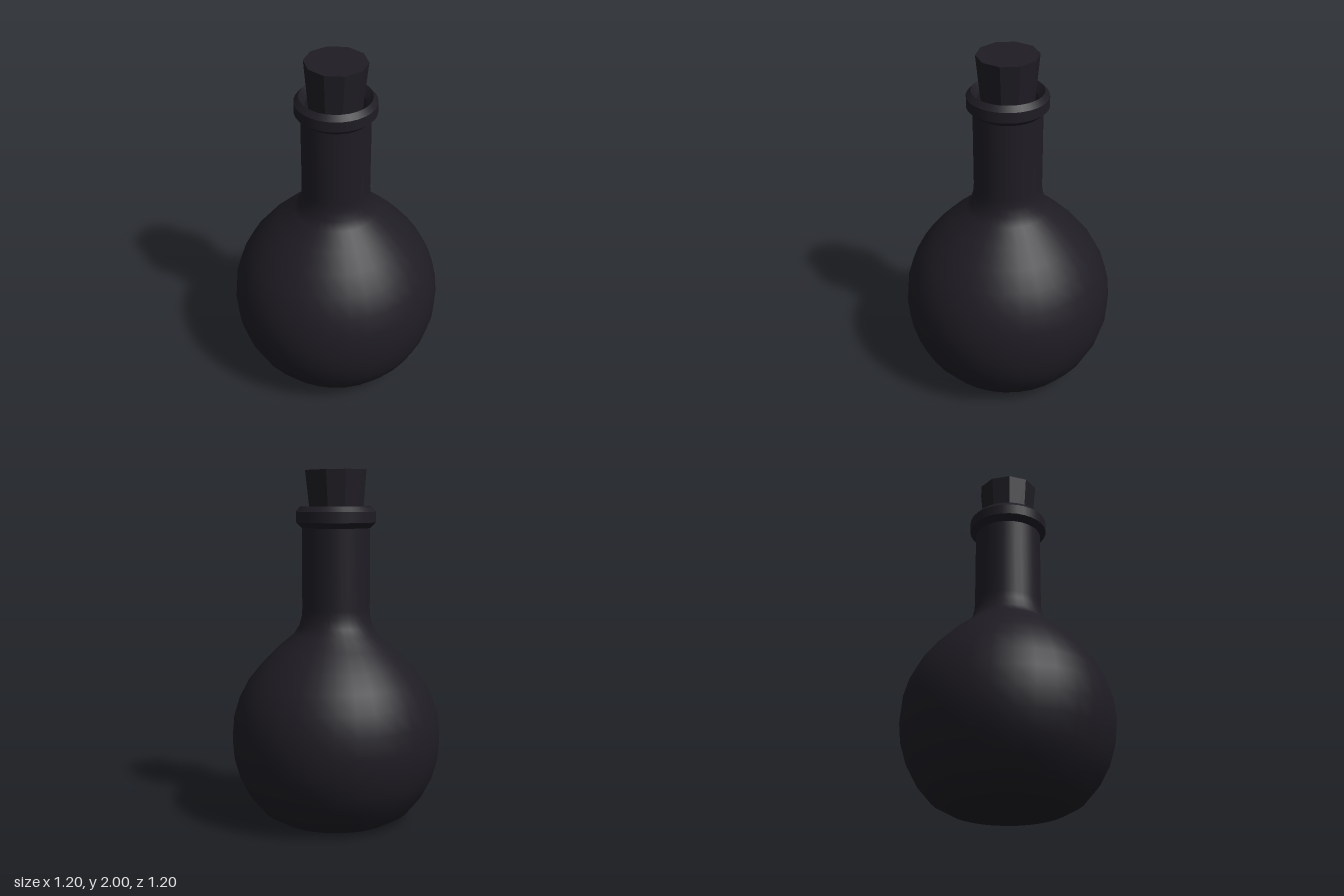
import * as THREE from 'three';

const SIDES = 32;
const glass = new THREE.MeshStandardMaterial({ color: 0x1f1d24 });
const corkMaterial = new THREE.MeshStandardMaterial({ color: 0x1f1d24, flatShading: true });
const liquidMaterial = new THREE.MeshStandardMaterial({ color: 0xe0114f });

// Revolve [radius, height] points; an upward profile faces out, a downward one faces in
function revolve(name, points, material = glass) {
  const profile = points.map(([r, y]) => new THREE.Vector2(r, y));
  const mesh = new THREE.Mesh(new THREE.LatheGeometry(profile, SIDES), material);
  mesh.name = name;
  return mesh;
}

export function createModel() {
  const model = new THREE.Group();
  model.name = 'corkedFlask';

  // Round belly flowing into a straight neck
  const belly = [
    [0.33, 0], [0.42, 0.05], [0.5, 0.145], [0.555, 0.25], [0.588, 0.365], [0.598, 0.48],
    [0.588, 0.595], [0.555, 0.705], [0.5, 0.81], [0.42, 0.91], [0.33, 1.0],
  ];
  model.add(revolve('body', [...belly, [0.24, 1.075], [0.21, 1.12], [0.195, 1.175], [0.192, 1.22], [0.192, 1.7]]));
  model.add(revolve('base', [[0, 0], [0.33, 0]]));

  // Collar: bevels and rim as separate bands so their edges stay crisp
  const collar = new THREE.Group();
  collar.name = 'collar';
  collar.add(
    revolve('lowerBevel', [[0.19, 1.672], [0.226, 1.705]]),
    revolve('collarBand', [[0.226, 1.705], [0.226, 1.765]]),
    revolve('upperBevel', [[0.226, 1.765], [0.2, 1.795]]),
    revolve('innerLip', [[0.2, 1.795], [0.166, 1.75]]),
  );
  model.add(collar);

  // Inner wall of the neck and belly
  const hollow = belly.map(([r, y]) => [r - 0.03, y === 0 ? 0.03 : y]);
  model.add(revolve('innerWall', [[0.166, 1.75], [0.166, 1.18], [0.21, 1.08], ...hollow.slice().reverse(), [0, 0.03]]));

  // Liquid filling the lower belly
  const fill = belly.slice(0, 8).map(([r, y]) => [r - 0.04, Math.max(y, 0.04)]);
  model.add(revolve('liquid', [[0, 0.04], ...fill], liquidMaterial));
  const [surfaceRadius, surfaceHeight] = fill[fill.length - 1];
  model.add(revolve('liquidSurface', [[surfaceRadius, surfaceHeight], [0, surfaceHeight]], liquidMaterial));

  // Tapered, faceted cork, leaning very slightly
  const cork = new THREE.Mesh(new THREE.CylinderGeometry(0.172, 0.135, 0.4, 10, 1, false, Math.PI / 2), corkMaterial);
  cork.name = 'cork';
  cork.position.set(-0.002, 1.797, 0);
  cork.rotation.z = -0.015;
  model.add(cork);

  return model;
}
